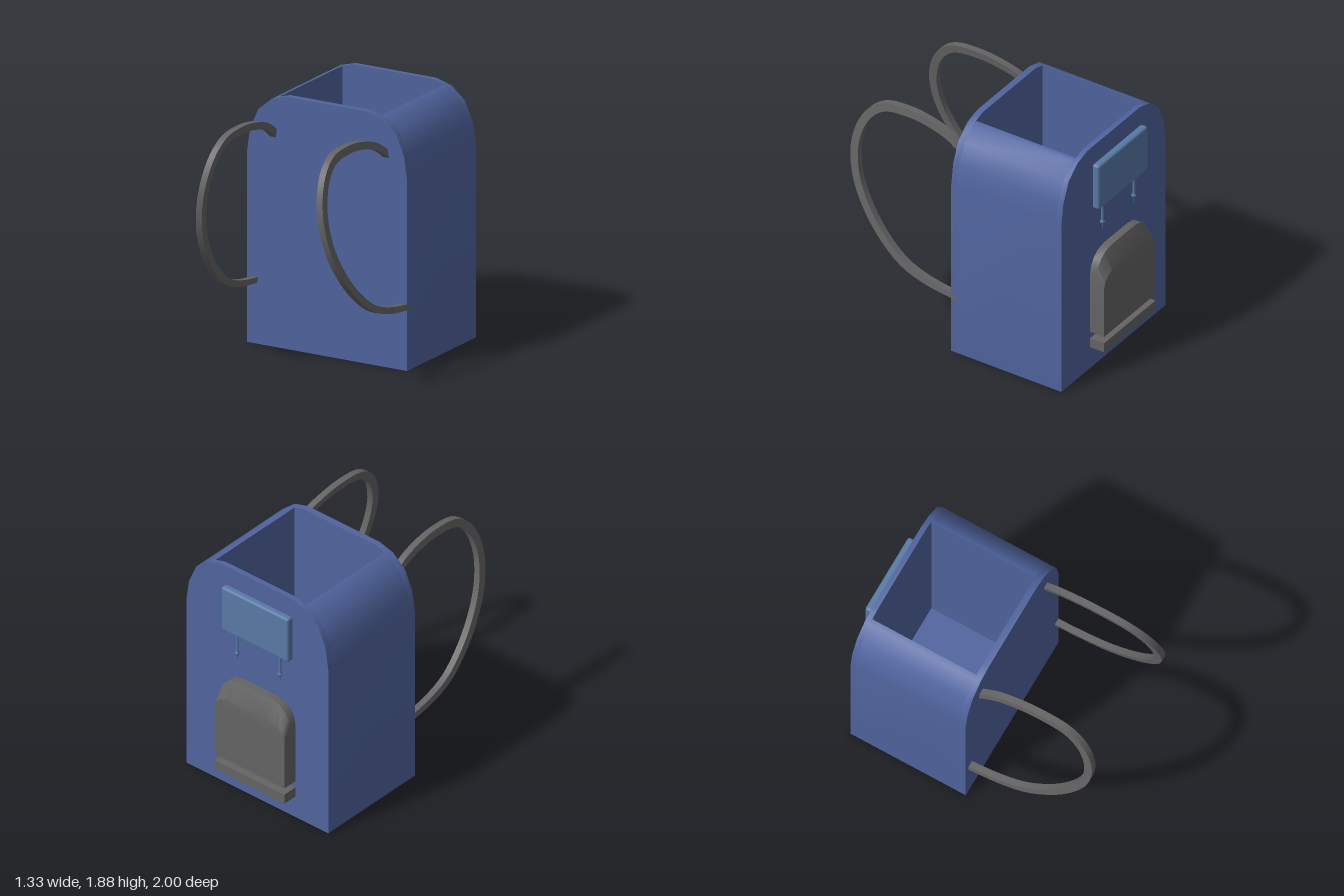
import * as THREE from 'three';
import { toCreasedNormals } from 'three/addons/utils/BufferGeometryUtils.js';
import { RoundedBoxGeometry } from 'three/addons/geometries/RoundedBoxGeometry.js';

const blue = new THREE.MeshStandardMaterial({ color: 0x50649e });
const lightBlue = new THREE.MeshStandardMaterial({ color: 0x587aa6 });
const grey = new THREE.MeshStandardMaterial({ color: 0x646464 });

function addMesh(parent, name, geometry, material, x = 0, y = 0, z = 0) {
  const mesh = new THREE.Mesh(geometry, material);
  mesh.name = name;
  mesh.position.set(x, y, z);
  parent.add(mesh);
  return mesh;
}

const toShape = (pts) => new THREE.Shape(pts.map(([x, y]) => new THREE.Vector2(x, y)));

function extrude(shape, depth, steps = 1) {
  return new THREE.ExtrudeGeometry(shape, { depth, steps, bevelEnabled: false });
}

// Right half of the bag outline, bottom to top, up to the mouth edge
const half = [[0.665, 0], [0.665, 1.42], [0.64, 1.59], [0.572, 1.745], [0.46, 1.84]];
const mirrored = (pts) => pts.map(([x, y]) => [-x, y]).reverse();

function makeBody() {
  const body = new THREE.Group();
  body.name = 'body';
  const rim = [...half, [0.335, 1.875]];
  const panel = toShape([...rim, ...mirrored(rim)]);
  // The middle section is notched to leave the open compartment
  const notch = [...half, [0.423, 1.85], [0.423, 0.06]];
  const middle = toShape([...notch, ...mirrored(notch)]);
  const smooth = (g) => toCreasedNormals(g, 0.6);
  addMesh(body, 'frontPanel', smooth(extrude(panel, 0.05)), blue, 0, 0, 0.01);
  addMesh(body, 'backPanel', smooth(extrude(panel, 0.04)), blue, 0, 0, -0.88);
  addMesh(body, 'sidesAndFloor', smooth(extrude(middle, 0.85)), blue, 0, 0, -0.84);
  body.position.x = -0.004;
  return body;
}

// Flat band following a curve in the z-y plane, leaning sideways towards the top
function strapGeometry(side) {
  const curve = new THREE.CatmullRomCurve3([
    [0, 1.53], [0.06, 1.59], [0.2, 1.68], [0.4, 1.735], [0.57, 1.748], [0.75, 1.725],
    [0.865, 1.64], [0.94, 1.5], [0.967, 1.32], [0.925, 1.1], [0.81, 0.885],
    [0.66, 0.71], [0.48, 0.575], [0.27, 0.505], [0, 0.467],
  ].map(([z, y]) => new THREE.Vector3(z, y, 0)));
  const outer = [], inner = [];
  const n = 48;
  for (let i = 0; i <= n; i++) {
    const p = curve.getPoint(i / n), t = curve.getTangent(i / n);
    const h = 0.021 + 0.011 * Math.sin(Math.PI * i / n);
    outer.push([p.x - t.y * h, p.y + t.x * h]);
    inner.push([p.x + t.y * h, p.y - t.x * h]);
  }
  const width = 0.05;
  const g = extrude(toShape([...outer, ...inner.reverse()]), width);
  g.translate(0, 0, -width / 2).rotateY(-Math.PI / 2);
  const pos = g.attributes.position;
  for (let i = 0; i < pos.count; i++) {
    const lean = 0.44 + 0.185 * (1.77 - pos.getY(i)) / 1.32;
    pos.setX(i, pos.getX(i) + 0.015 + side * lean);
  }
  return toCreasedNormals(g, 0.6);
}

// Arched pocket whose top slopes down towards its outer face
function pocketGeometry() {
  const arch = [[0.328, 0.31], [0.328, 0.8], [0.315, 0.865], [0.28, 0.92], [0.225, 0.96], [0.15, 0.975]];
  const g = extrude(toShape([...arch, ...mirrored(arch)]), 0.12, 2);
  const pos = g.attributes.position;
  for (let i = 0; i < pos.count; i++) {
    const y = pos.getY(i);
    if (pos.getZ(i) < 0.01 && y > 0.6) pos.setY(i, 0.6 + (y - 0.6) * 0.627);
  }
  return toCreasedNormals(g, 0.5);
}

export function createModel() {
  const bag = new THREE.Group();
  bag.name = 'backpack';
  bag.add(makeBody());

  // Shoulder straps
  addMesh(bag, 'leftStrap', strapGeometry(1), grey);
  addMesh(bag, 'rightStrap', strapGeometry(-1), grey);

  // Back pocket and the bar below it
  const cx = -0.033;
  addMesh(bag, 'pocket', pocketGeometry(), grey, cx, 0, -1);
  addMesh(bag, 'pocketBar', new THREE.BoxGeometry(0.656, 0.077, 0.12), grey, cx, 0.217, -0.94);

  // Padded flap with two hanging pulls
  addMesh(bag, 'flap', new RoundedBoxGeometry(0.63, 0.375, 0.062, 3, 0.02), lightBlue, cx, 1.548, -0.916);
  const pull = new THREE.LatheGeometry([
    [0, 1.13], [0.003, 1.132], [0.004, 1.17], [0.012, 1.175], [0.02, 1.19], [0.018, 1.198],
    [0.01, 1.205], [0.01, 1.335], [0.014, 1.345], [0.018, 1.37],
  ].map(([r, y]) => new THREE.Vector2(r, y)), 12);
  for (const side of [-1, 1]) {
    addMesh(bag, side > 0 ? 'leftPull' : 'rightPull', pull, lightBlue, cx + side * 0.2, 0, -0.9);
  }
  return bag;
}
